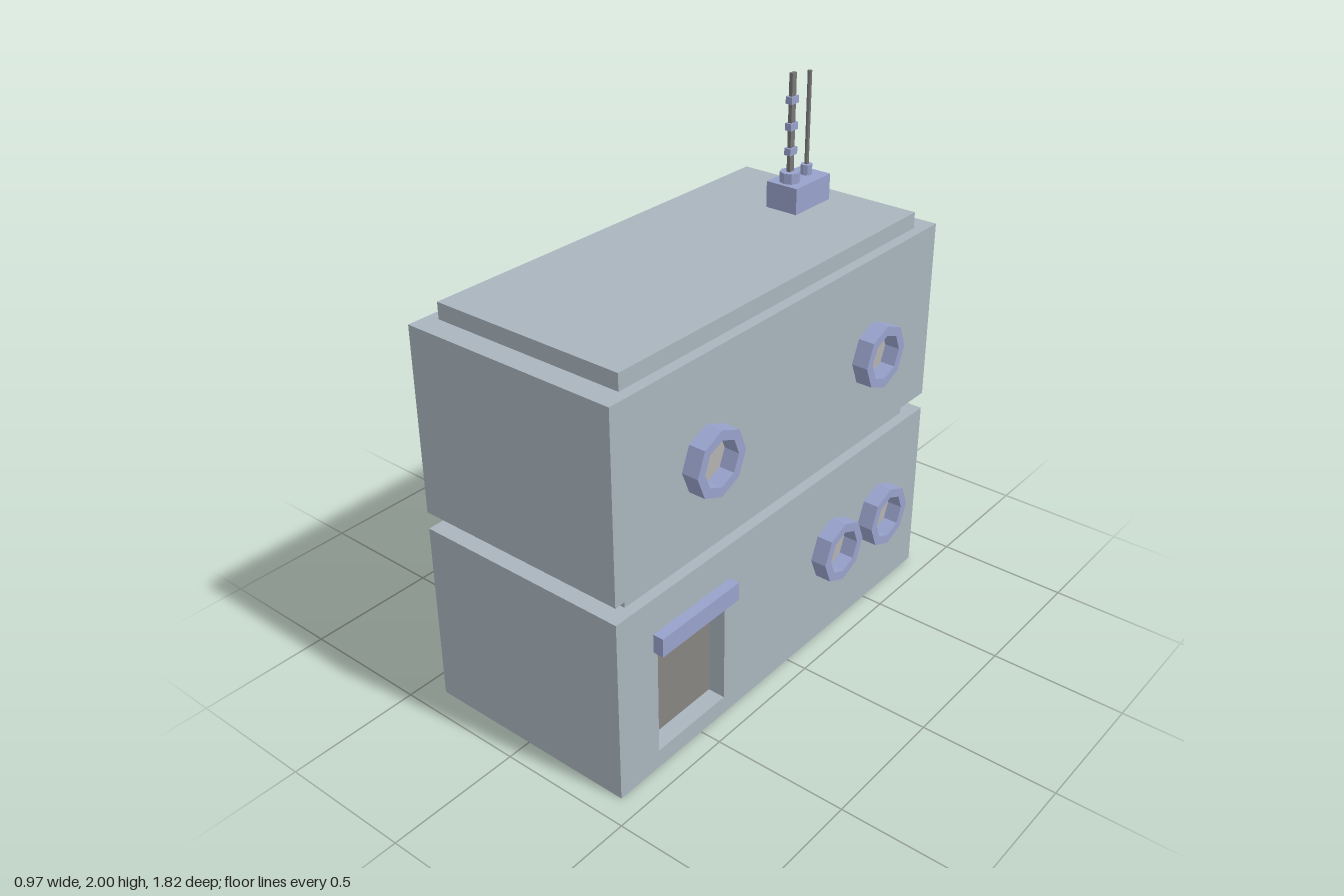
import * as THREE from 'three';

const mat = (color) => new THREE.MeshStandardMaterial({ color, flatShading: true });

export function createModel() {
  const model = new THREE.Group();
  const wall = mat(0xa9b4bd), trim = mat(0x98a2cb), glass = mat(0xb4b2b0);
  const doorMat = mat(0x868480), metal = mat(0x777777);

  function add(name, geometry, material, parent = model) {
    const mesh = new THREE.Mesh(geometry, material);
    mesh.name = name;
    parent.add(mesh);
    return mesh;
  }
  // Box given by its minimum and maximum on each axis
  function box(name, material, [x0, x1], [y0, y1], [z0, z1]) {
    const mesh = add(name, new THREE.BoxGeometry(x1 - x0, y1 - y0, z1 - z0), material);
    mesh.position.set((x0 + x1) / 2, (y0 + y1) / 2, (z0 + z1) / 2);
    return mesh;
  }
  function rect(path, x0, x1, y0, y1) {
    path.moveTo(x0, y0);
    path.lineTo(x1, y0);
    path.lineTo(x1, y1);
    path.lineTo(x0, y1);
    path.closePath();
    return path;
  }
  function octagon(r) {
    return Array.from({ length: 8 }, (_, i) =>
      new THREE.Vector2(Math.cos(i * Math.PI / 4) * r, Math.sin(i * Math.PI / 4) * r));
  }

  const X = [-0.415, 0.42], Z = [-0.835, 0.91];
  const innerX = [-0.37, 0.38], innerZ = [-0.75, 0.825];
  const recess = 0.07;

  // Storeys with narrower bands above each
  box('lowerStorey', wall, [X[0], X[1] - recess], [0, 0.695], Z);
  box('middleBand', wall, innerX, [0.695, 0.76], innerZ);
  box('upperStorey', wall, X, [0.76, 1.45], Z);
  box('roof', wall, innerX, [1.45, 1.51], innerZ);

  // Lower wall layer with the doorway cut out (shape x runs along -z)
  const doorWall = rect(new THREE.Shape(), -Z[1], -Z[0], 0, 0.695);
  doorWall.holes.push(rect(new THREE.Path(), -0.72, -0.375, 0.07, 0.49));
  const front = add('doorWall',
    new THREE.ExtrudeGeometry(doorWall, { depth: recess, bevelEnabled: false }), wall);
  front.rotation.y = Math.PI / 2;
  front.position.x = X[1] - recess;
  box('door', doorMat, [X[1] - recess, X[1] - recess + 0.004], [0.07, 0.49], [0.375, 0.72]);
  box('doorLintel', trim, [X[1], 0.46], [0.49, 0.56], [0.35, 0.74]);

  // Octagonal portholes: position on the wall and the heading they face
  const ring = new THREE.Shape(octagon(0.12));
  ring.holes.push(new THREE.Path(octagon(0.084)));
  const right = Math.PI / 2;
  const portholes = [
    [X[1], 1.085, 0.475, right], [X[1], 1.085, -0.45, right],
    [X[1], 0.37, -0.25, right], [X[1], 0.37, -0.55, right],
    [X[0], 1.085, 0.47, -right], [X[0], 1.085, 0.15, -right],
    [0.01, 1.085, Z[0], Math.PI],
  ];
  for (const [x, y, z, heading] of portholes) {
    const porthole = new THREE.Group();
    porthole.name = 'porthole';
    const depth = heading === right ? 0.062 : 0.075;
    add('portholeFrame', new THREE.ExtrudeGeometry(ring, { depth, bevelEnabled: false }), trim, porthole);
    add('portholeGlass', new THREE.CircleGeometry(0.084, 8), glass, porthole).position.z = 0.005;
    porthole.position.set(x, y, z);
    porthole.rotation.y = heading;
    model.add(porthole);
  }

  // Roof aerials on their box
  box('aerialBox', trim, [-0.06, 0.07], [1.51, 1.607], [-0.665, -0.46]);
  for (const [z, r] of [[-0.51, 0.037], [-0.61, 0.021]]) {
    add('aerialSocket', new THREE.CylinderGeometry(r, r, 0.038, 8), trim).position.set(0.004, 1.626, z);
  }
  box('mainAerial', metal, [-0.003, 0.011], [1.64, 2], [-0.522, -0.498]);
  for (const y of [1.72, 1.81, 1.905]) {
    box('aerialBead', trim, [-0.009, 0.017], [y - 0.013, y + 0.013], [-0.531, -0.489]);
  }
  add('thinAerial', new THREE.CylinderGeometry(0.008, 0.008, 0.345, 8), metal).position.set(0.004, 1.8125, -0.61);

  return model;
}
